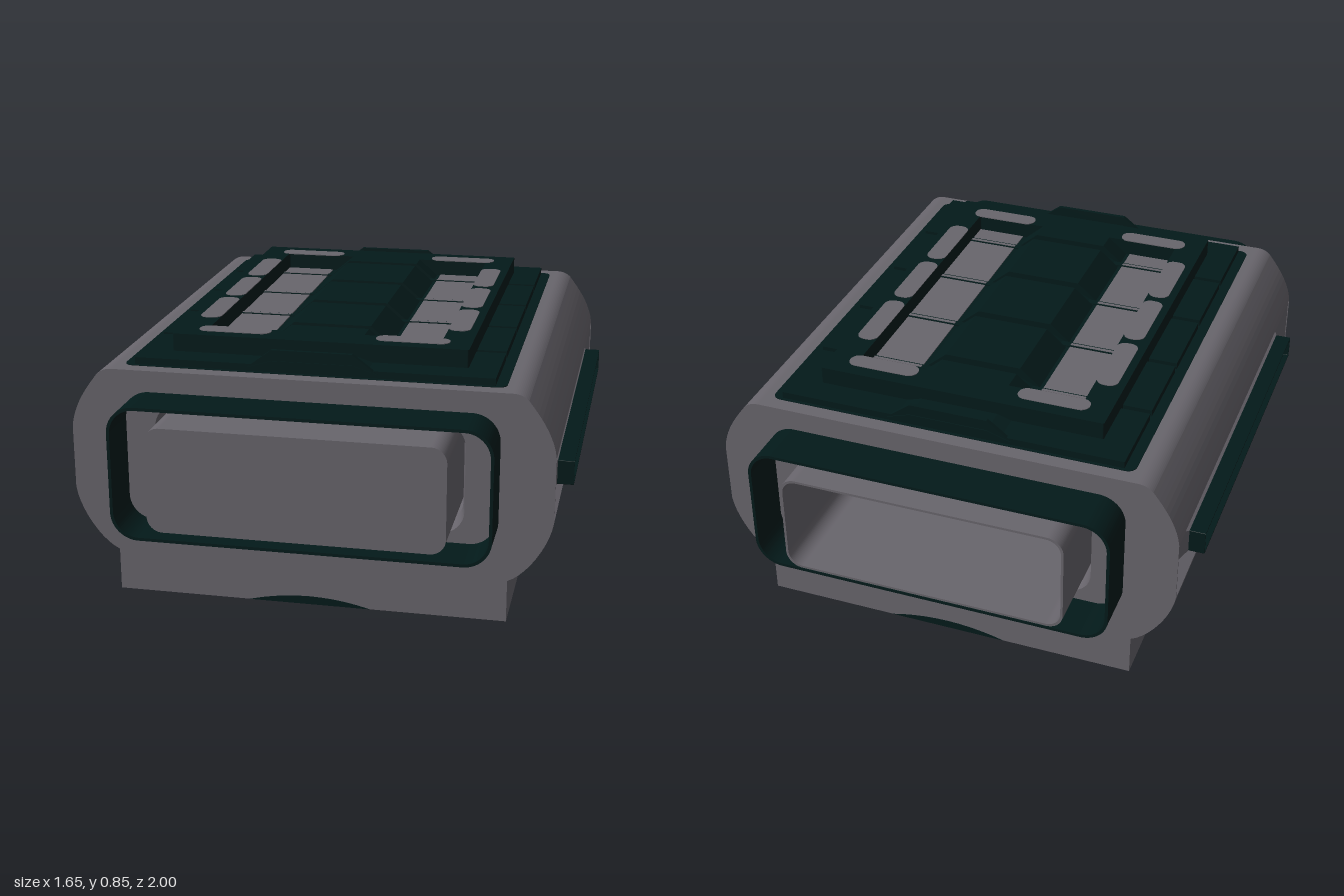
import * as THREE from 'three';

export function createModel() {
  const model = new THREE.Group();
  const mat = (name, color) => {
    const m = new THREE.MeshStandardMaterial({ color, side: THREE.DoubleSide });
    m.name = name;
    return m;
  };
  const grey = mat('casing grey', 0x68656c);
  const dark = mat('deep teal', 0x031a1a);

  const add = (name, geo, material, x = 0, y = 0, z = 0, parent = model) => {
    const mesh = new THREE.Mesh(geo, material);
    mesh.name = name;
    mesh.position.set(x, y, z);
    parent.add(mesh);
    return mesh;
  };
  // box given by its limits
  const block = (name, material, x0, x1, y0, y1, z0, z1, parent) =>
    add(name, new THREE.BoxGeometry(x1 - x0, y1 - y0, z1 - z0), material,
      (x0 + x1) / 2, (y0 + y1) / 2, (z0 + z1) / 2, parent);
  // rounded rectangle traced on a shape or hole path
  const roundRect = (w, h, cy, r, path = new THREE.Shape()) => {
    const a = Math.PI / 2;
    path.moveTo(w - r, cy - h);
    path.absarc(w - r, cy - h + r, r, -a, 0);
    path.absarc(w - r, cy + h - r, r, 0, a);
    path.absarc(-w + r, cy + h - r, r, a, 2 * a);
    path.absarc(-w + r, cy - h + r, r, 2 * a, 3 * a);
    path.closePath();
    return path;
  };
  // rounded rectangle with a wall of the given thickness
  const ring = (w, h, cy, r, t) => {
    const shape = roundRect(w, h, cy, r);
    shape.holes.push(roundRect(w - t, h - t, cy, r * 0.9, new THREE.Path()));
    return shape;
  };
  const extrude = (shape, z0, z1, curveSegments = 10) =>
    new THREE.ExtrudeGeometry(shape, { depth: z1 - z0, bevelEnabled: false, curveSegments }).translate(0, 0, z0);
  // skin between two outlines of equal point count
  const loft = (a, b, flip = false) => {
    const pos = [], n = a.length;
    for (let i = 0; i < n; i++) {
      const j = (i + 1) % n;
      const quad = [a[i], a[j], b[j], a[i], b[j], b[i]];
      for (const p of flip ? quad.reverse() : quad) pos.push(...p);
    }
    const g = new THREE.BufferGeometry();
    g.setAttribute('position', new THREE.Float32BufferAttribute(pos, 3));
    g.computeVertexNormals();
    return g;
  };
  const outline = (w, h, cy, r, z) => roundRect(w, h, cy, r).getPoints(8).map(p => [p.x, p.y, z]);

  // casing: bulged sides with a channel, and an opening through the middle
  const body = new THREE.Shape();
  body.moveTo(-0.64, 0);
  body.lineTo(0.64, 0);
  body.lineTo(0.64, 0.14);
  body.bezierCurveTo(0.7, 0.165, 0.77, 0.27, 0.78, 0.35);
  body.lineTo(0.7, 0.35);
  body.lineTo(0.7, 0.56);
  body.lineTo(0.78, 0.56);
  body.bezierCurveTo(0.77, 0.64, 0.72, 0.7, 0.69, 0.74);
  body.quadraticCurveTo(0.67, 0.76, 0.64, 0.76);
  body.lineTo(-0.64, 0.76);
  body.quadraticCurveTo(-0.67, 0.76, -0.69, 0.74);
  body.bezierCurveTo(-0.72, 0.7, -0.77, 0.64, -0.78, 0.56);
  body.lineTo(-0.7, 0.56);
  body.lineTo(-0.7, 0.35);
  body.lineTo(-0.78, 0.35);
  body.bezierCurveTo(-0.77, 0.27, -0.7, 0.165, -0.64, 0.14);
  body.closePath();
  body.holes.push(roundRect(0.5, 0.185, 0.47, 0.08, new THREE.Path()));
  add('casing', extrude(body, -0.8, 0.8), grey);

  // thin collars and tapered sleeves at both ends
  for (const s of [1, -1]) {
    add(s > 0 ? 'frontCollar' : 'backCollar',
      extrude(ring(0.607, 0.222, 0.468, 0.09, 0.01), s > 0 ? 0.79 : -0.96, s > 0 ? 0.96 : -0.79), dark);
    add(s > 0 ? 'frontSleeve' : 'backSleeve',
      loft(outline(0.5, 0.185, 0.47, 0.08, s * 0.8), outline(0.483, 0.179, 0.47, 0.065, s * 0.7), s < 0), grey);
  }

  // closed block in front, open pocket behind
  add('frontBlock', extrude(roundRect(0.472, 0.172, 0.47, 0.05), 0.6, 1), grey);
  add('backPocket', extrude(ring(0.474, 0.174, 0.47, 0.055, 0.008), -1, -0.6), grey);
  add('pocketEnd', new THREE.ShapeGeometry(roundRect(0.47, 0.17, 0.47, 0.05)), grey, 0, 0, -0.6);

  // side channels: a groove, a raised pedestal and a hollow rail with markings
  for (const s of [1, -1]) {
    const side = new THREE.Group();
    side.name = s > 0 ? 'leftChannel' : 'rightChannel';
    model.add(side);
    const rect = (x, y0, y1, z) => [[s * x, y0, z], [s * x, y1, z], [s * x, y1, -z], [s * x, y0, -z]];
    const groove = rect(0.725, 0.38, 0.525, 0.715);
    add('channelSlope', loft(rect(0.78, 0.35, 0.56, 0.8), groove, s > 0), grey, 0, 0, 0, side);
    add('railPedestal', loft(groove, rect(0.772, 0.415, 0.495, 0.635), s > 0), grey, 0, 0, 0, side);
    for (const z of [0.798, -0.798])
      add('channelEnd', new THREE.BoxGeometry(0.08, 0.21, 0.004), grey, s * 0.74, 0.455, z, side);
    add('rail', extrude(ring(0.635, 0.04, 0, 0.002, 0.004), -0.0275, 0.0275).rotateY(Math.PI / 2),
      dark, s * 0.7975, 0.455, 0, side);
    add('railFloor', new THREE.BoxGeometry(0.004, 0.074, 1.264), grey, s * 0.782, 0.455, 0, side);
    const marks = [[0.415, 0.2, 0.455, 0.037, 0.004], [-0.12, 0.133, 0.447, 0.032, 0.03],
      [-0.42, 0.04, 0.467, 0.026, 0.02], [-0.583, 0.014, 0.455, 0.016, 0.013]];
    for (const [z, w, y, h, r] of marks) {
      const g = extrude(roundRect(w, h, 0, r), -0.0015, 0.0015).rotateY(Math.PI / 2);
      add('railMark', g, dark, s * 0.7855, y, z, side);
    }
  }

  // patches on the underside and its lower edges
  const flat = (shape, y0, y1) => extrude(shape, y0, y1).rotateX(-Math.PI / 2);
  add('basePatch', flat(roundRect(0.51, 0.655, 0, 0.2), -0.001, 0.002), dark);
  const arc = new THREE.Shape();
  arc.moveTo(-0.2, 0);
  arc.quadraticCurveTo(0, 0.055, 0.2, 0);
  arc.closePath();
  for (const z of [0.799, -0.801]) add('edgePatch', extrude(arc, z, z + 0.002), dark);

  // top grille: sheet, low slats, raised frame
  const grille = new THREE.Group();
  grille.name = 'topGrille';
  model.add(grille);
  add('sheet', flat(roundRect(0.615, 0.75, 0, 0.03), 0.757, 0.762), dark, 0, 0, 0, grille);
  for (const z of [-0.6, -0.3, 0, 0.3, 0.6])
    block('slat', dark, -0.58, 0.58, 0.76, 0.785, z - 0.14, z + 0.14, grille);
  const frame = roundRect(0.483, 0.645, 0, 0.005);
  frame.holes.push(roundRect(0.385, 0.54, 0, 0.005, new THREE.Path()));
  add('frame', flat(frame, 0.76, 0.843), dark, 0, 0, 0, grille);

  // arched centre pieces split by grooves, with ramps and lips at the ends
  const arch = (top) => {
    const p = new THREE.Shape();
    [[-0.21, 0.775], [0.21, 0.775], [0.13, top], [-0.13, top]].forEach(([x, y], i) => i ? p.lineTo(x, y) : p.moveTo(x, y));
    p.closePath();
    return p;
  };
  for (const z of [-0.3, 0, 0.3]) add('centreArch', extrude(arch(0.843), z - 0.133, z + 0.133), dark, 0, 0, 0, grille);
  for (const s of [1, -1]) {
    const span = (a, b) => [Math.min(s * a, s * b), Math.max(s * a, s * b)];
    add('endArch', extrude(arch(0.843), ...span(0.467, 0.64)), dark, 0, 0, 0, grille);
    add('endRamp', extrude(arch(0.8), ...span(0.64, 0.745)), dark, 0, 0, 0, grille);
    add('endLip', extrude(arch(0.835), ...span(0.728, 0.742)), dark, 0, 0, 0, grille);
    for (const z of [0.15, 0.45]) {
      add('grooveArch', extrude(arch(0.81), s * z - 0.018, s * z + 0.018), dark, 0, 0, 0, grille);
      block('rib', dark, -0.48, 0.48, 0.76, 0.79, s * z - 0.012, s * z + 0.012, grille);
    }
  }

  // grey inlays between and along the ribs, in the recess and on the frame
  for (const s of [1, -1]) {
    for (const z of [-0.3, 0, 0.3]) {
      add('recessInlay', new THREE.BoxGeometry(0.173, 0.004, 0.274), grey, s * 0.298, 0.786, z, grille);
      add('frameInlay', flat(roundRect(0.036, 0.135, 0, 0.03), 0, 0.003), grey, s * 0.421, 0.842, z, grille);
    }
    for (const z of [-0.45, -0.15, 0.15, 0.45])
      add('ribInlay', new THREE.BoxGeometry(0.173, 0.003, 0.012), grey, s * 0.298, 0.79, z, grille);
    for (const e of [1, -1]) {
      add('recessInlay', new THREE.BoxGeometry(0.173, 0.004, 0.075), grey, s * 0.298, 0.786, e * 0.502, grille);
      add('endInlay', flat(roundRect(0.12, 0.032, 0, 0.03), 0, 0.003), grey, s * 0.293, 0.842, e * 0.567, grille);
    }
  }
  return model;
}
